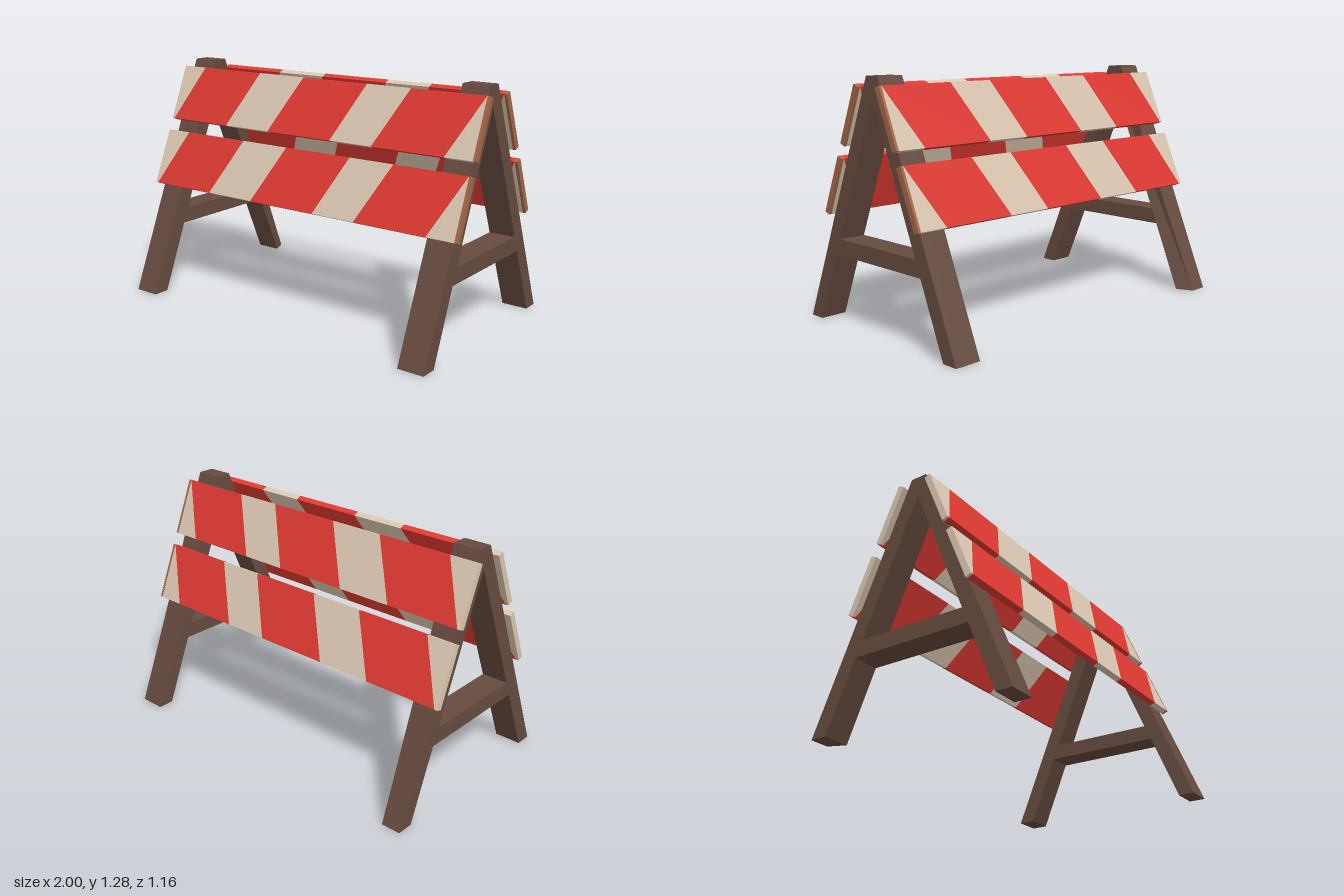
import * as THREE from 'three';

const red = new THREE.MeshStandardMaterial({ name: 'red paint', color: 0xe03a32 });
const cream = new THREE.MeshStandardMaterial({ name: 'cream paint', color: 0xdcc8b2 });
const darkWood = new THREE.MeshStandardMaterial({ name: 'dark wood', color: 0x674b3f });
const endWood = new THREE.MeshStandardMaterial({ name: 'bare end wood', color: 0xa46648 });

const toShape = (pts) => new THREE.Shape(pts.map(([x, y]) => new THREE.Vector2(x, y)));

// A-shaped end frame: side profile extruded across x, starting at x0
function makeFrame(name, x0) {
  const profile = toShape([
    [0.58, 0], [0.045, 1.285], [-0.045, 1.285], [-0.58, 0],
    [-0.49, 0], [-0.336, 0.37], [0.336, 0.37], [0.49, 0],
  ]);
  profile.holes.push(toShape([[0, 1.175], [0.3, 0.455], [-0.3, 0.455]]));
  const geo = new THREE.ExtrudeGeometry(profile, { depth: 0.145, bevelEnabled: false });
  geo.rotateY(Math.PI / 2).translate(x0, 0, 0);
  // One rear foot has its inner corner trimmed
  const p = geo.attributes.position;
  for (let i = 0; i < p.count; i++) {
    if (p.getY(i) < 0.01 && p.getZ(i) < -0.57 && Math.abs(p.getX(i) + 0.82) < 0.01) p.setX(i, -0.86);
  }
  geo.computeVertexNormals();
  const mesh = new THREE.Mesh(geo, darkWood);
  mesh.name = name;
  return mesh;
}

// Striped board, made of slanted blocks side by side
const LENGTH = 0.318, THICK = 0.034, LEAN = Math.atan2(0.123, 0.293);
const bottomX = [-1, -0.985, -0.575, -0.27, 0.15, 0.41, 0.83, 0.985];
const topX = [-1, -0.84, -0.42, -0.115, 0.3, 0.565, 0.984, 0.985];

function makeBoard(name, side, y, z) {
  const board = new THREE.Group();
  board.name = name;
  const addBlock = (label, b0, b1, t0, t1, material) => {
    const shape = toShape([[b0, 0], [b1, 0], [t1, LENGTH], [t0, LENGTH]]);
    const geo = new THREE.ExtrudeGeometry(shape, { depth: THICK, bevelEnabled: false });
    if (side < 0) geo.translate(0, 0, -THICK);
    const mesh = new THREE.Mesh(geo, material);
    mesh.name = label;
    board.add(mesh);
  };
  for (let i = 0; i < bottomX.length - 1; i++) {
    const isRed = i % 2 === 1;
    addBlock(isRed ? 'redStripe' : 'creamStripe', bottomX[i], bottomX[i + 1], topX[i], topX[i + 1], isRed ? red : cream);
  }
  addBlock('boardEnd', 0.985, 1, 0.985, 1, endWood);
  board.position.set(0, y, side * z);
  board.rotation.x = -side * LEAN;
  return board;
}

export function createModel() {
  const model = new THREE.Group();
  model.name = 'roadBarrier';
  model.add(makeFrame('leftFrame', 0.82), makeFrame('rightFrame', -0.965));
  for (const [label, side] of [['front', 1], ['back', -1]]) {
    model.add(makeBoard(label + 'UpperBoard', side, 0.939, 0.191));
    model.add(makeBoard(label + 'LowerBoard', side, 0.581, 0.341));
  }
  return model;
}
